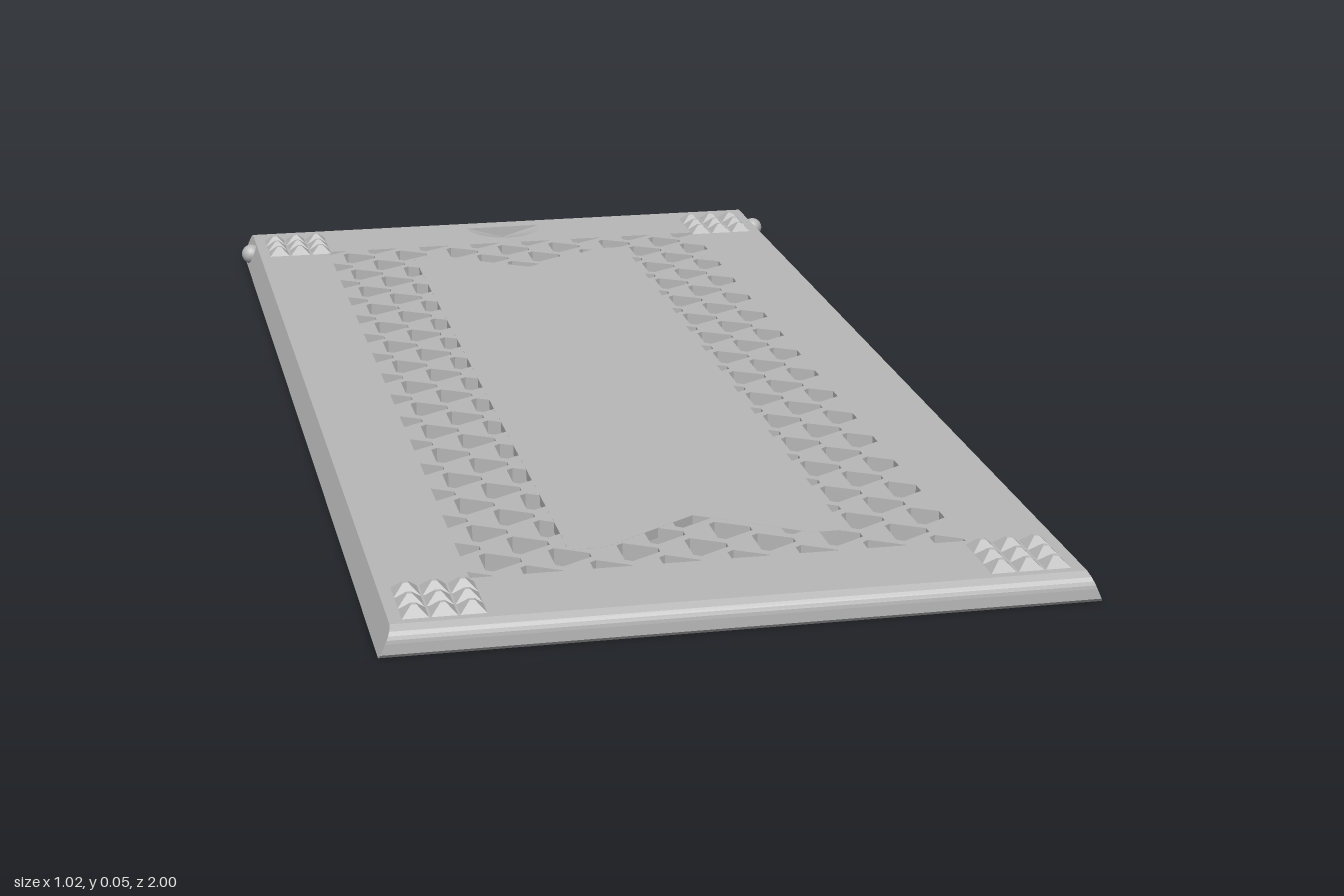
import * as THREE from 'three';

const H = 0.04;          // plate thickness
const PX = 0.0974, PZ = 0.0563; // vent lattice pitch

// keep the part of a convex polygon where s * p[axis] <= limit
function clip(pts, axis, s, limit) {
  const out = [];
  pts.forEach((p, i) => {
    const q = pts[(i + 1) % pts.length];
    const a = limit - s * p[axis], b = limit - s * q[axis];
    if (a >= 0) out.push(p);
    if (a * b < 0) out.push(p.clone().lerp(q, a / (a - b)));
  });
  return out;
}

// blunt triangular vents in a staggered grid, trimmed to a rectangle
function ventHoles() {
  const tri = [[-0.034, -0.028], [-0.024, -0.035], [0.021, -0.007], [0.021, 0.007], [-0.024, 0.035], [-0.034, 0.028]];
  const holes = [];
  for (let k = -15; k <= 15; k++) {
    for (let i = -4; i <= 4; i++) {
      const cx = (i + (k % 2 ? 0.5 : 0)) * PX;
      let pts = tri.map(([x, y]) => new THREE.Vector2(cx + x, k * PZ + y));
      for (const s of [1, -1]) {
        pts = clip(pts, 'x', s, 0.352);
        pts = clip(pts, 'y', s, 0.84);
      }
      if (pts.length < 3 || Math.abs(THREE.ShapeUtils.area(pts)) < 5e-5) continue;
      holes.push(new THREE.Path(pts));
    }
  }
  return holes;
}

const polygon = (pts) => new THREE.Shape(pts.map(([x, y]) => new THREE.Vector2(x, y)));

// extrude a plan shape upward (shape y becomes -z)
function slab(shape, depth, steps = 1) {
  return new THREE.ExtrudeGeometry(shape, { depth, steps, bevelEnabled: false, curveSegments: 24 }).rotateX(-Math.PI / 2);
}

// inset of a rounded top edge of radius r at height y
const roundInset = (y, r) => {
  const d = Math.max(0, y - (H - r));
  return r - Math.sqrt(Math.max(0, r * r - d * d));
};

export function createModel() {
  const model = new THREE.Group();
  const grey = new THREE.MeshStandardMaterial({ color: 0xb8b8b8 });
  grey.name = 'grey';
  const greyOpen = grey;
  greyOpen.side = THREE.DoubleSide;
  const add = (name, geometry, parent = model) => {
    const mesh = new THREE.Mesh(geometry, grey);
    mesh.name = name;
    parent.add(mesh);
    return mesh;
  };

  // thumb notch outline: half ellipse with its flat side toward the back
  const notchZ = -0.955;
  const rim = [];
  for (let i = 0; i <= 20; i++) {
    const a = (i / 20) * Math.PI;
    rim.push([0.07 * Math.cos(a), notchZ + 0.08 * Math.sin(a)]);
  }
  const notch = rim.map(([x, z]) => new THREE.Vector2(x, -z));

  // vented plate with slanted sides and rounded ends
  const outline = polygon([[-0.5, -1], [0.5, -1], [0.5, 1], [-0.5, 1]]);
  outline.holes = [...ventHoles(), new THREE.Path(notch)];
  const plate = slab(outline, H, 8);
  const pos = plate.attributes.position;
  for (let i = 0; i < pos.count; i++) {
    const x = pos.getX(i), y = pos.getY(i), z = pos.getZ(i);
    if (Math.abs(x) < 0.45) continue;
    const foot = y < 0.004 ? 0.004 : 0;
    pos.setX(i, Math.sign(x) * (0.498 - 0.018 * (y / H)));
    pos.setZ(i, z > 0 ? 1 - roundInset(y, 0.02) - foot : -1 + roundInset(y, 0.01));
  }
  plate.computeVertexNormals();
  add('ventedPlate', plate);

  // solid centre panel with notched ends, closing the middle vents from above
  const panel = polygon([
    [-0.2, -0.765], [-0.15, -0.765], [0, -0.665], [0.15, -0.765], [0.2, -0.765],
    [0.2, 0.765], [0.15, 0.765], [0, 0.665], [-0.15, 0.765], [-0.2, 0.765],
  ]);
  add('centrePanel', slab(panel, 0.0152)).position.y = 0.025;

  // scooped floor of the thumb notch, and the closed underside below it
  const scoopPoints = [];
  for (let i = 0; i < 20; i++) {
    const [a, b] = [rim[i], rim[i + 1]];
    scoopPoints.push(0, 0.02, notchZ, b[0], H, b[1], a[0], H, a[1]);
  }
  const scoop = new THREE.BufferGeometry();
  scoop.setAttribute('position', new THREE.Float32BufferAttribute(scoopPoints, 3));
  scoop.computeVertexNormals();
  add('thumbScoop', scoop);
  add('scoopUnderside', slab(new THREE.Shape(notch), 0.004));

  // grip pads: three by three blunt pyramids at each corner
  for (const side of [-1, 1]) {
    for (const cz of [-0.885, 0.91]) {
      const pad = new THREE.Group();
      pad.name = 'gripPad';
      pad.position.set(side * 0.405, H, cz);
      for (let i = -1; i <= 1; i++) {
        for (let j = -1; j <= 1; j++) {
          const stud = new THREE.CylinderGeometry(0.005, 0.0255, 0.014, 4).toNonIndexed();
          stud.rotateY(Math.PI / 4);
          stud.computeVertexNormals();
          add('gripStud', stud, pad).position.set(i * 0.039, 0.007, j * 0.039);
        }
      }
      model.add(pad);
    }
    // snap bump on each side near the back
    add('snapBump', new THREE.SphereGeometry(0.018, 20, 14)).position.set(side * 0.49, 0.022, -0.92);
  }
  return model;
}
